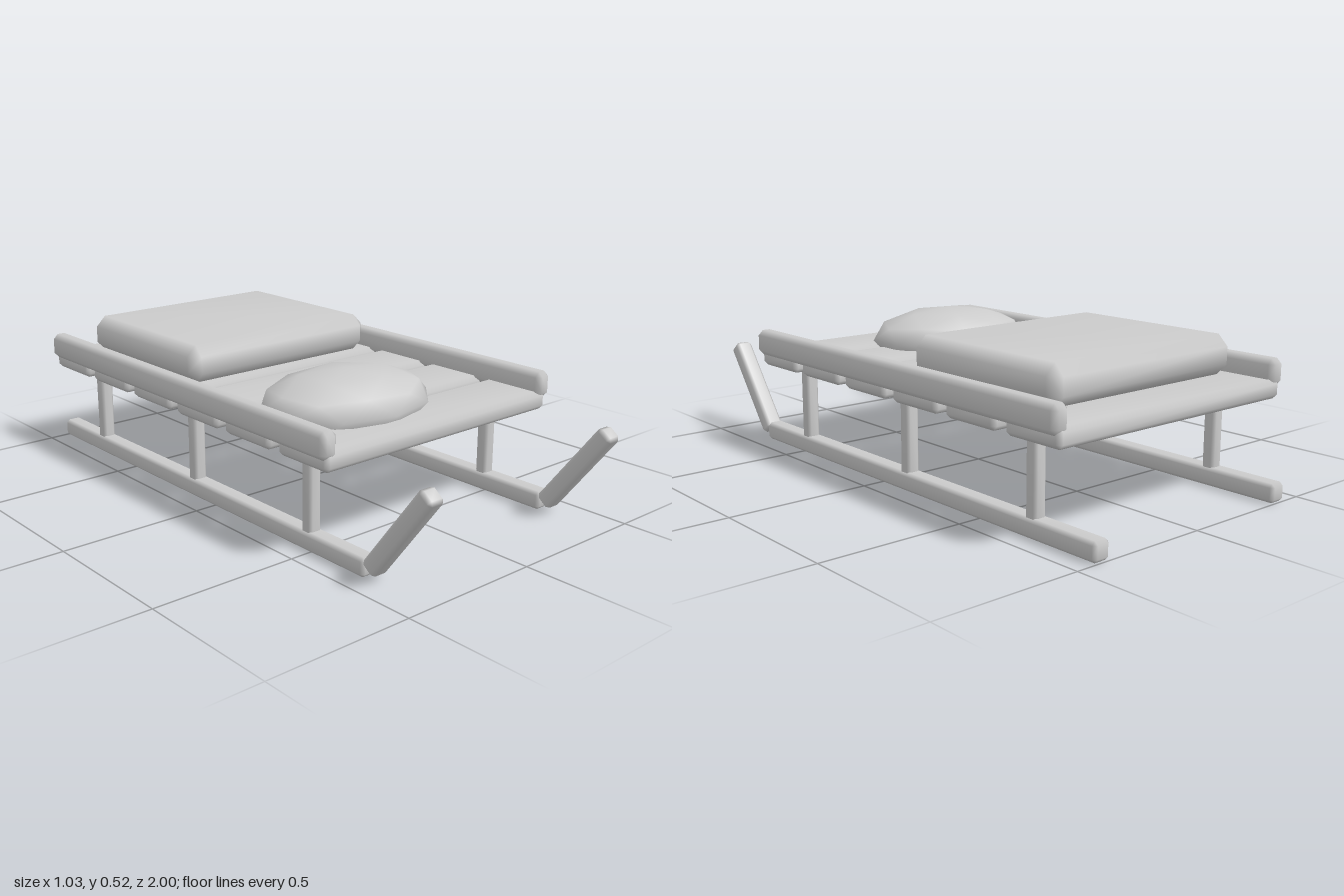
import * as THREE from 'three';
import { mergeVertices } from 'three/addons/utils/BufferGeometryUtils.js';
import { ConvexGeometry } from 'three/addons/geometries/ConvexGeometry.js';

// Box with single-cut chamfers on every edge and softened normals
function chamferBox(w, h, d, c) {
  const points = [];
  for (const sx of [-1, 1]) for (const sy of [-1, 1]) for (const sz of [-1, 1]) {
    const x = w / 2, y = h / 2, z = d / 2;
    points.push(
      new THREE.Vector3(sx * x, sy * (y - c), sz * (z - c)),
      new THREE.Vector3(sx * (x - c), sy * y, sz * (z - c)),
      new THREE.Vector3(sx * (x - c), sy * (y - c), sz * z)
    );
  }
  const hull = new ConvexGeometry(points);
  hull.deleteAttribute('normal');
  const geometry = mergeVertices(hull, 1e-4);
  geometry.computeVertexNormals();
  return geometry;
}

export function createModel() {
  const group = new THREE.Group();
  const grey = new THREE.MeshStandardMaterial({ color: 0xcccccc });
  grey.name = 'plain grey';

  const add = (name, geometry, x, y, z) => {
    const mesh = new THREE.Mesh(geometry, grey);
    mesh.name = name;
    mesh.position.set(x, y, z);
    group.add(mesh);
    return mesh;
  };

  // Shared geometry for mirrored and repeated parts
  const runner = chamferBox(0.064, 0.064, 1.745, 0.012);
  const curl = chamferBox(0.064, 0.378, 0.06, 0.012);
  const post = chamferBox(0.048, 0.266, 0.048, 0.01);
  const rail = chamferBox(0.064, 0.09, 1.575, 0.018);
  const slat = chamferBox(0.99, 0.065, 0.228, 0.015);

  for (const [side, s] of [['left', 1], ['right', -1]]) {
    // Runner with its upturned front tip
    add(side + 'Runner', runner, s * 0.402, 0.032, -0.1275);
    add(side + 'RunnerTip', curl, s * 0.402, 0.18, 0.869).rotation.x = 0.651;
    // Posts between runner and deck
    for (const z of [0.478, -0.126, -0.73]) add(side + 'Post', post, s * 0.402, 0.185, z);
    // Side rail on top of the slats
    add(side + 'Rail', rail, s * 0.482, 0.399, -0.13);
  }

  // Deck slats
  for (let i = 0; i < 6; i++) add('deckSlat', slat, 0, 0.3455, -0.804 + i * 0.2687);

  // Square cushion at the back
  add('cushion', chamferBox(0.805, 0.133, 0.668, 0.037), 0, 0.4525, -0.467);

  // Flattened faceted sack at the front, one vertex pointing straight up
  const sack = new THREE.IcosahedronGeometry(1, 1);
  sack.rotateZ(-Math.atan(2 / (1 + Math.sqrt(5))));
  sack.scale(0.312, 0.108, 0.24);
  add('sack', sack, -0.135, 0.398, 0.337);

  return group;
}
